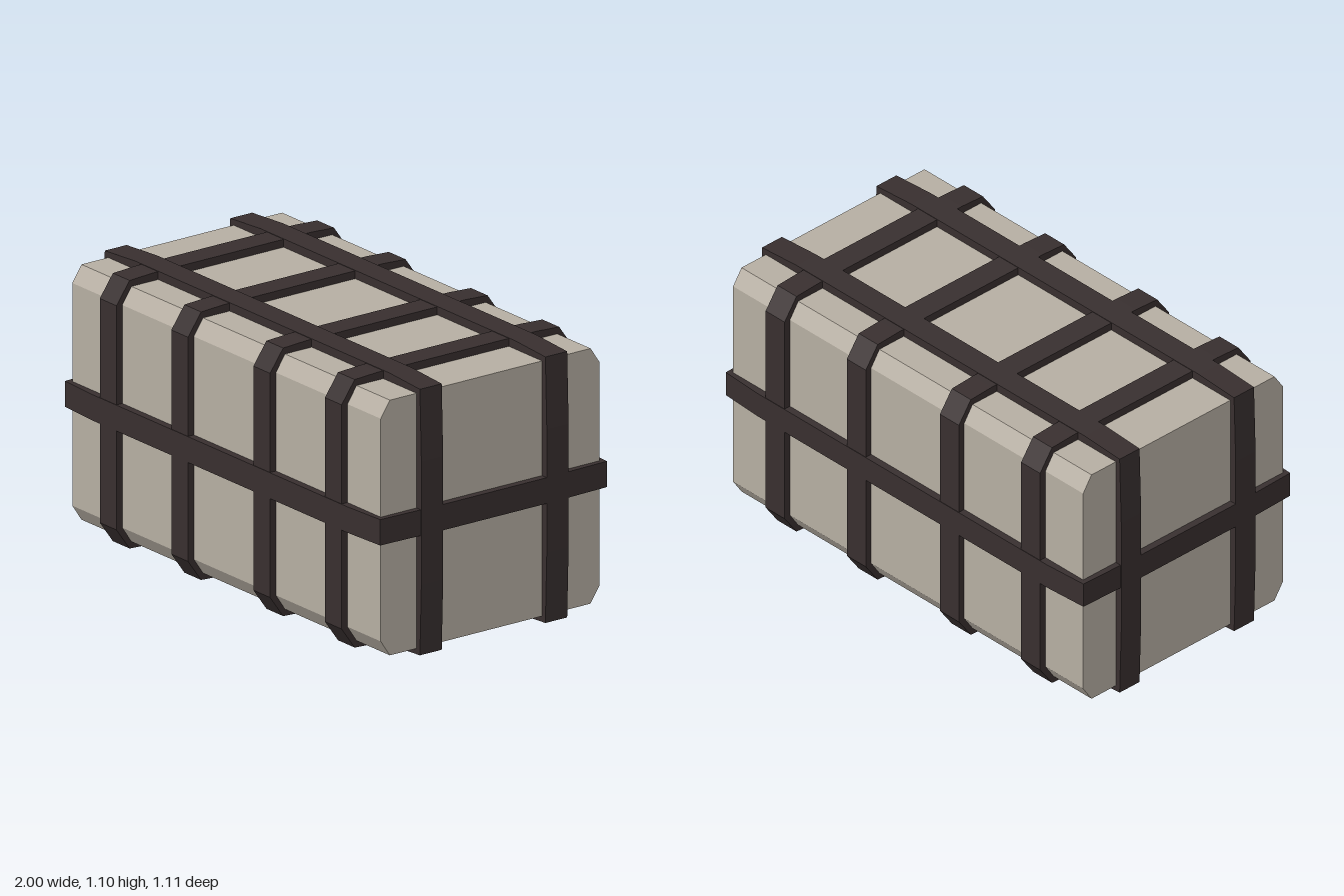
import * as THREE from 'three';

const strapMat = new THREE.MeshStandardMaterial({ color: 0x382f2f });
strapMat.name = 'dark strap';
const bodyMat = new THREE.MeshStandardMaterial({ color: 0xb6aea2 });
bodyMat.name = 'stone beige';

const CENTRE_Y = 0.552;

// Mirrors the points of one quadrant into a closed counter-clockwise outline
function outline(q) {
  const r = [...q].reverse();
  return [
    ...q,
    ...r.map(([a, b]) => [-a, b]),
    ...q.map(([a, b]) => [-a, -b]),
    ...r.map(([a, b]) => [a, -b]),
  ].map(([a, b]) => new THREE.Vector2(a, b));
}

// Prism of the outline centred on its own depth, optionally hollow
function prism(quadrant, depth, hollow) {
  const pts = outline(quadrant);
  const shape = new THREE.Shape(pts);
  if (hollow) shape.holes.push(new THREE.Path(pts.map((p) => p.clone().multiplyScalar(0.9)).reverse()));
  return new THREE.ExtrudeGeometry(shape, { depth, bevelEnabled: false }).translate(0, 0, -depth / 2);
}

export function createModel() {
  const model = new THREE.Group();
  model.name = 'strappedCrate';
  const add = (name, geo, mat, x, y, z) => {
    const mesh = new THREE.Mesh(geo, mat);
    mesh.name = name;
    mesh.position.set(x, y, z);
    model.add(mesh);
  };

  // Body with its four long edges chamfered
  const body = prism([[0.527, 0.452], [0.483, 0.518]], 1.94, false).rotateY(Math.PI / 2);
  add('crateBody', body, bodyMat, 0, CENTRE_Y, 0);

  // Four straps around the girth
  const girth = prism([[0.555, 0.2], [0.555, 0.455], [0.492, 0.544], [0.38, 0.55]], 0.105, true).rotateY(Math.PI / 2);
  for (const x of [-0.708, -0.258, 0.258, 0.708]) add('girthStrap', girth, strapMat, x, CENTRE_Y, 0);

  // Two straps running lengthwise over top, ends and bottom
  const lengthwise = prism([[1, 0.25], [0.991, 0.54], [0.8, 0.552]], 0.105, true);
  for (const z of [-0.302, 0.302]) add('lengthwiseStrap', lengthwise, strapMat, 0, CENTRE_Y, z);

  // Horizontal belt around the middle
  const belt = prism([[1, 0.25], [0.991, 0.546], [0.8, 0.557]], 0.105, true).rotateX(Math.PI / 2);
  add('middleBelt', belt, strapMat, 0, CENTRE_Y, 0);

  return model;
}
